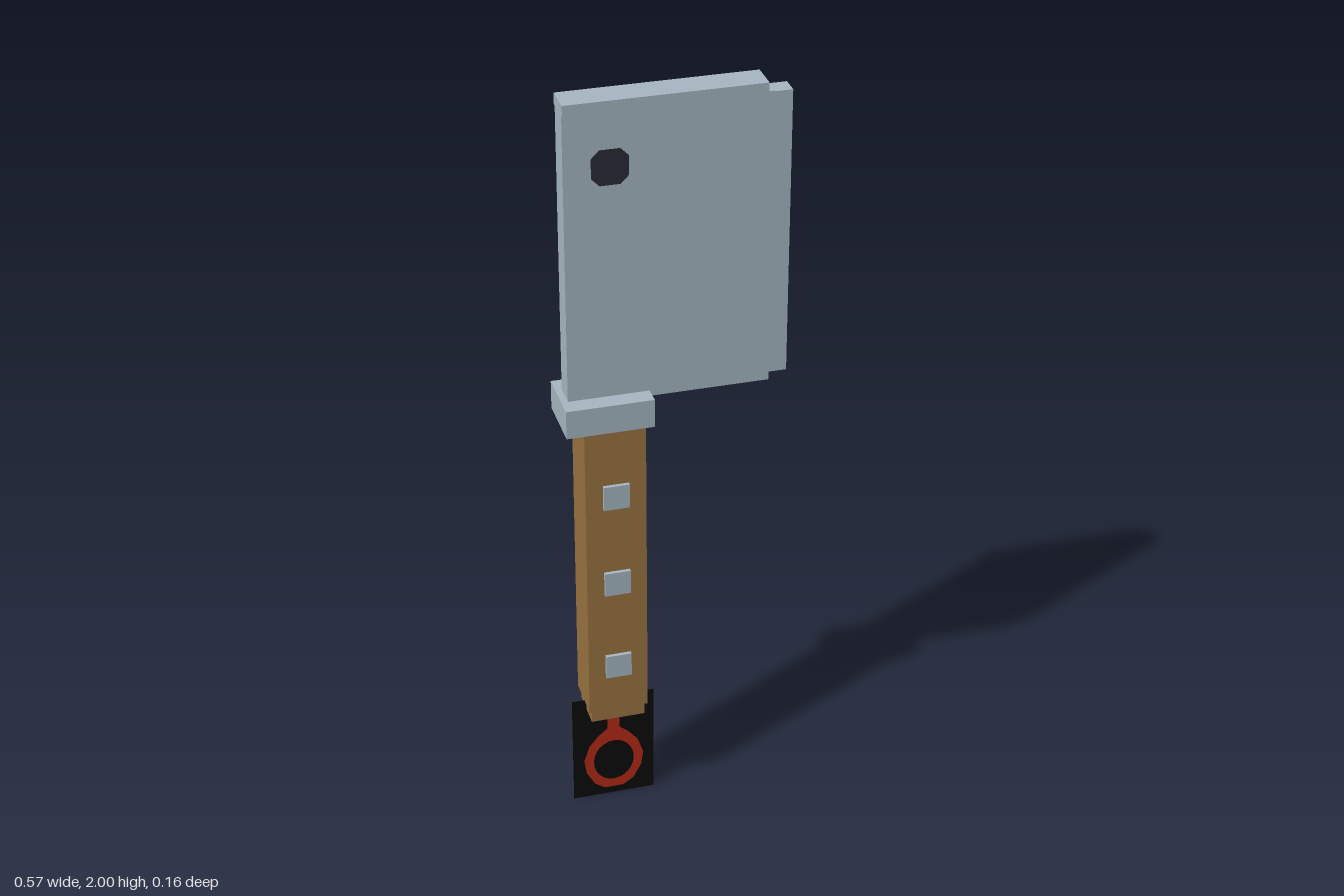
import * as THREE from 'three';

export function createModel() {
  const model = new THREE.Group();
  const mat = (name, color) => {
    const m = new THREE.MeshStandardMaterial({ color });
    m.name = name;
    return m;
  };
  const steel = mat('steel', 0xa7b8c2);
  const wood = mat('wood', 0x9a7440);
  const dark = mat('dark hole', 0x2b2b36);
  const black = mat('black tag', 0x0b0b0b);
  black.side = THREE.DoubleSide;
  const red = mat('red cord', 0xb62a17);

  const add = (name, geometry, material) => {
    const mesh = new THREE.Mesh(geometry, material);
    mesh.name = name;
    model.add(mesh);
    return mesh;
  };
  // box from x and y limits and its half depth in z
  const box = (name, material, x0, x1, y0, y1, halfZ) =>
    add(name, new THREE.BoxGeometry(x1 - x0, y1 - y0, halfZ * 2), material)
      .position.set((x0 + x1) / 2, (y0 + y1) / 2, 0);

  // blade
  box('blade', steel, -0.268, 0.235, 1.215, 1.975, 0.031);
  box('cuttingEdge', steel, 0.235, 0.282, 1.232, 1.97, 0.024);
  box('spine', steel, -0.268, 0.22, 1.972, 2.0, 0.039);

  // guard and handle
  const cx = -0.16;
  box('guard', steel, -0.284, -0.065, 1.155, 1.23, 0.078);
  box('handle', wood, cx - 0.077, cx + 0.077, 0.32, 1.155, 0.062);
  box('handleButt', wood, cx - 0.07, cx + 0.07, 0.285, 0.32, 0.055);
  for (const y of [0.46, 0.712, 0.965]) {
    box('rivet', steel, cx - 0.033, cx + 0.033, y - 0.033, y + 0.033, 0.072);
  }

  // hanging tag
  add('tag', new THREE.PlaneGeometry(0.218, 0.316), black).position.set(cx, 0.158, 0);

  // cord: a loop that narrows into a strap
  const half = [[0.016, 0.31], [0.016, 0.215], [0.04, 0.195], [0.065, 0.165], [0.08, 0.12],
    [0.074, 0.08], [0.052, 0.04], [0.025, 0.022]];
  const outline = [...half, ...half.map(([x, y]) => [-x, y]).reverse()];
  const cordShape = new THREE.Shape(outline.map(([x, y]) => new THREE.Vector2(x, y)));
  const hole = new THREE.Path();
  hole.absellipse(0, 0.11, 0.054, 0.063, 0, Math.PI * 2, true);
  cordShape.holes.push(hole);
  const cord = new THREE.ShapeGeometry(cordShape, 12);

  // square with cut corners for the hanging hole
  const a = 0.045, b = 0.025;
  const corners = [[a, -b], [a, b], [b, a], [-b, a], [-a, b], [-a, -b], [-b, -a], [b, -a]];
  const holeFace = new THREE.ShapeGeometry(
    new THREE.Shape(corners.map(([x, y]) => new THREE.Vector2(x, y))));

  // painted details on both sides
  for (const side of [1, -1]) {
    const turn = side > 0 ? 0 : Math.PI;
    const c = add('cordLoop', cord, red);
    c.position.set(cx, 0, side * 0.003);
    c.rotation.y = turn;
    const h = add('hangingHole', holeFace, dark);
    h.position.set(-0.157, 1.833, side * 0.033);
    h.rotation.y = turn;
  }
  return model;
}
